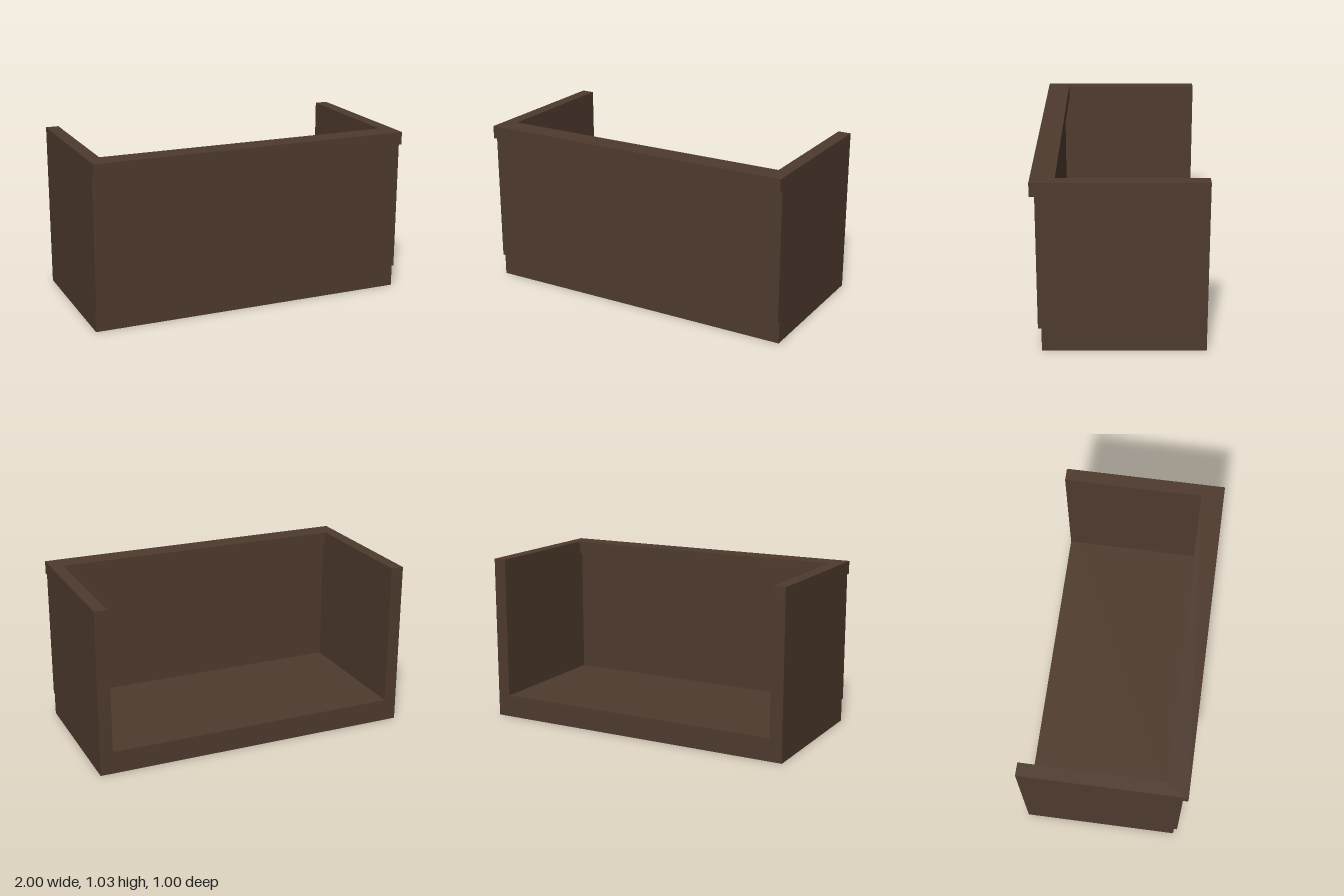
import * as THREE from 'three';

export function createModel() {
  const group = new THREE.Group();
  const wood = new THREE.MeshStandardMaterial({ color: 0x4e3a2d });
  wood.name = 'dark brown wood';

  // Box given by its lower and upper corners
  const addBox = (name, [x0, y0, z0], [x1, y1, z1]) => {
    const mesh = new THREE.Mesh(new THREE.BoxGeometry(x1 - x0, y1 - y0, z1 - z0), wood);
    mesh.position.set((x0 + x1) / 2, (y0 + y1) / 2, (z0 + z1) / 2);
    mesh.name = name;
    group.add(mesh);
  };

  // Base slab, set back slightly as a plinth
  addBox('base', [-1, 0, -0.5], [1, 0.14, 0.45]);

  // Full-width front panel
  addBox('frontPanel', [-1, 0.14, 0.39], [1, 0.95, 0.47]);

  // Side walls; the back stays open
  addBox('leftWall', [0.92, 0.14, -0.5], [1, 0.95, 0.39]);
  addBox('rightWall', [-1, 0.14, -0.5], [-0.92, 0.95, 0.39]);

  // U-shaped top rail, overhanging the front panel on both faces
  const outline = [
    [-1, 0.5], [-1, -0.5], [1, -0.5], [1, 0.5],
    [0.92, 0.5], [0.92, -0.36], [-0.92, -0.36], [-0.92, 0.5],
  ].map(([x, y]) => new THREE.Vector2(x, y));
  const railGeometry = new THREE.ExtrudeGeometry(new THREE.Shape(outline), {
    depth: 0.08,
    bevelEnabled: false,
  });
  railGeometry.rotateX(-Math.PI / 2);
  const rail = new THREE.Mesh(railGeometry, wood);
  rail.position.y = 0.95;
  rail.name = 'topRail';
  group.add(rail);

  return group;
}
